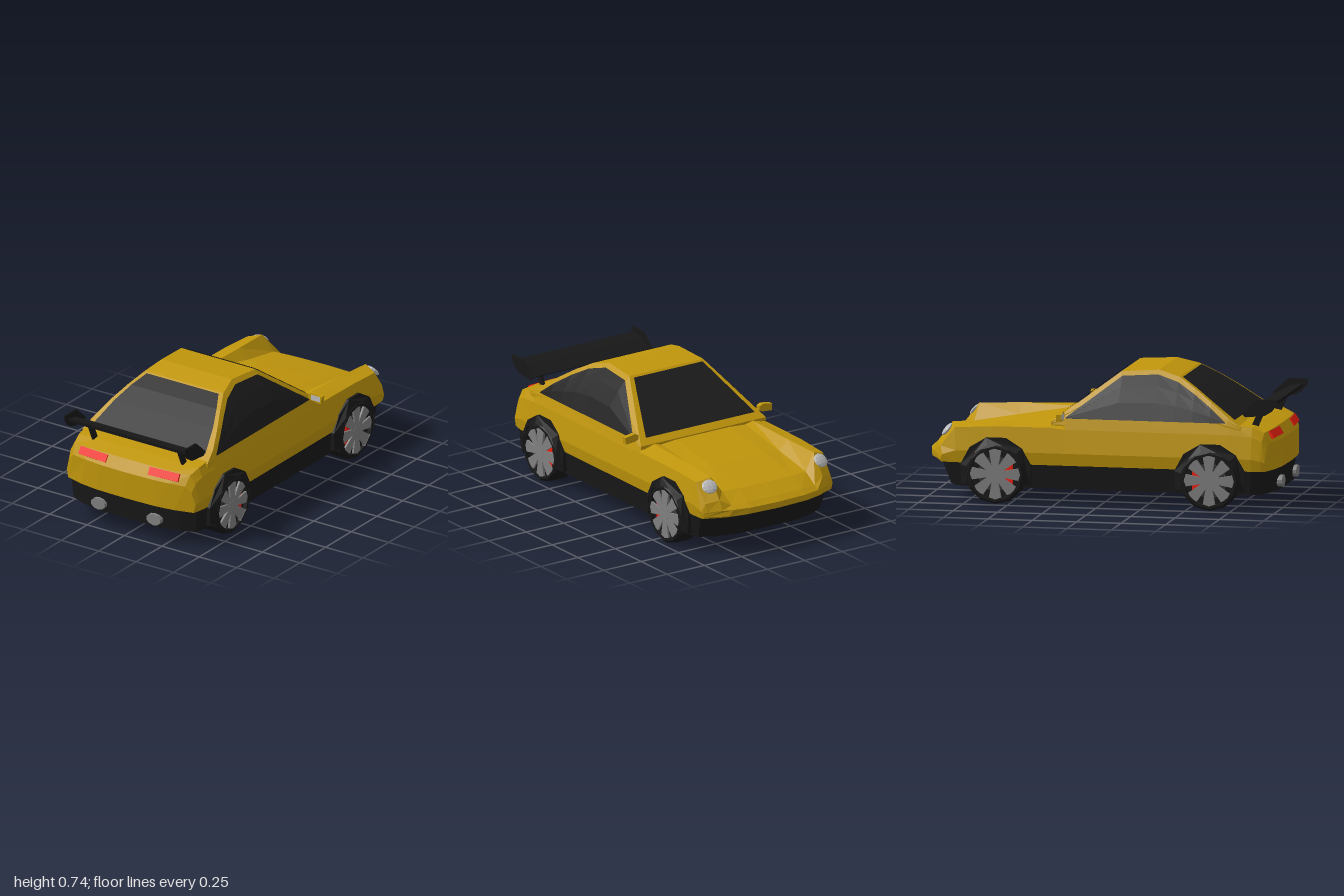
import * as THREE from 'three';

const mat = (color, side = THREE.FrontSide) => new THREE.MeshStandardMaterial({ color, flatShading: true, side });
const paint = mat(0xc0960c), black = mat(0x181818), glass = mat(0x1c1c1c, THREE.DoubleSide);
const grey = mat(0x808080), darkGrey = mat(0x383838), lens = mat(0xbbbbbb), red = mat(0xf02010);

function add(parent, name, geometry, material, x = 0, y = 0, z = 0) {
  const mesh = new THREE.Mesh(geometry, material);
  mesh.name = name;
  mesh.position.set(x, y, z);
  parent.add(mesh);
  return mesh;
}

function meshFrom(points, index) {
  const g = new THREE.BufferGeometry();
  g.setAttribute('position', new THREE.Float32BufferAttribute(points.flat(), 3));
  g.setIndex(index);
  g.computeVertexNormals();
  return g;
}

// Surface through mirrored half sections [x, y, z], ordered bottom centre to top centre
function loft(sections) {
  const H = sections[0].length, n = 2 * (H - 1), points = [], index = [];
  for (const half of sections)
    points.push(...half, ...half.slice(1, -1).reverse().map(([x, y, z]) => [-x, y, z]));
  const quad = (a, b, c, d) => index.push(a, b, c, a, c, d);
  for (let i = 0; i < sections.length - 1; i++)
    for (let j = 0; j < n; j++) {
      const k = (j + 1) % n;
      quad(i * n + j, i * n + k, (i + 1) * n + k, (i + 1) * n + j);
    }
  const last = (sections.length - 1) * n;
  for (const s of [0, H - 1])
    for (let k = 0; k < H / 2 - 1; k++) {
      const q = [s + k, s + k + 1, s + H - 2 - k, (s + H - 1 - k) % n];
      quad(...q.map(v => v + last));
      quad(...q.reverse());
    }
  return meshFrom(points, index);
}

// Sheet through rows of points
function sheet(rows) {
  const n = rows[0].length, index = [];
  for (let i = 0; i < rows.length - 1; i++)
    for (let j = 0; j < n - 1; j++) {
      const a = i * n + j, b = a + n;
      index.push(a, b, a + 1, a + 1, b, b + 1);
    }
  return meshFrom(rows.flat(), index);
}

// Pane mirrored about the centre, rows of [half width, y, z]
const pane = rows => sheet(rows.map(([w, y, z]) => [[w, y, z], [-w, y, z]]));

const polygon = pts => new THREE.Shape(pts.map(p => new THREE.Vector2(...p)));

// Side outline of [z, y] points, extruded along x and centred on x = 0
function sidePlate(pts, width) {
  const g = new THREE.ExtrudeGeometry(polygon(pts.map(([z, y]) => [-z, y])), { depth: width, bevelEnabled: false });
  return g.rotateY(Math.PI / 2).translate(-width / 2, 0, 0);
}

// Painted shell: z, bow of the end, side width, crest x, then heights of foot, belt, shoulder, crest, hood edge, hood centre
function bodyGeometry() {
  const stations = [
    [-1.00, 0.115, 0.435, 0.34, 0.235, 0.25, 0.26, 0.27, 0.27, 0.27],
    [-0.965, 0.085, 0.44, 0.345, 0.222, 0.265, 0.31, 0.325, 0.29, 0.295],
    [-0.87, 0.065, 0.447, 0.345, 0.222, 0.29, 0.415, 0.437, 0.345, 0.345],
    [-0.60, 0, 0.45, 0.335, 0.222, 0.29, 0.427, 0.447, 0.39, 0.4],
    [-0.27, 0, 0.45, 0.33, 0.222, 0.29, 0.43, 0.457, 0.445, 0.453],
    [-0.19, 0, 0.45, 0.41, 0.222, 0.29, 0.42, 0.485, 0.485, 0.485],
    [0.73, 0, 0.45, 0.41, 0.222, 0.29, 0.42, 0.482, 0.482, 0.482],
    [0.86, 0, 0.447, 0.40, 0.222, 0.29, 0.41, 0.46, 0.462, 0.465],
    [0.95, -0.04, 0.438, 0.385, 0.222, 0.28, 0.385, 0.432, 0.438, 0.44],
    [0.99, -0.06, 0.43, 0.375, 0.222, 0.27, 0.34, 0.375, 0.378, 0.378],
  ];
  return loft(stations.map(([z, bow, w, cx, foot, belt, shoulder, crest, edge, mid]) => [
    [0, foot], [0.2, foot], [0.31, foot], [w - 0.01, foot], [w, belt], [w - 0.022, shoulder],
    [cx, crest], [0.28, edge], [0.18, mid], [0, mid],
  ].map(([x, y]) => [x, y, z + bow * (x / 0.44) ** 3])));
}

// Black lower body: plan outline pulled in at its foot, with a sloping ledge at the front
function skirtGeometry() {
  const half = [[0.2, -0.935], [0.33, -0.90], [0.42, -0.85], [0.435, -0.8], [0.437, 0.86], [0.42, 0.91], [0.34, 0.945], [0.2, 0.975]];
  const plan = [...half, ...half.map(([x, z]) => [-x, z]).reverse()];
  const g = new THREE.ExtrudeGeometry(polygon(plan), { depth: 0.138, bevelEnabled: false });
  g.rotateX(Math.PI / 2).translate(0, 0.228, 0);
  const p = g.attributes.position;
  for (let i = 0; i < p.count; i++) {
    const x = p.getX(i), y = p.getY(i), z = p.getZ(i);
    if (y < 0.15) p.setXYZ(i, x * 0.97, y, z * (z < 0 ? 0.95 : 0.99));
    else if (z < -0.88) p.setY(i, 0.21);
  }
  g.computeVertexNormals();
  return g;
}

// Wheel with its outer face towards +x, origin on the inner face
function wheel(caliperSide) {
  const group = new THREE.Group();
  group.name = 'wheel';
  const tyre = [[0, 0.03], [0.125, 0.03], [0.13, 0], [0.155, 0], [0.168, 0.015], [0.168, 0.12], [0.155, 0.135], [0.142, 0.135], [0.14, 0.113], [0, 0.113]];
  add(group, 'tyre', new THREE.LatheGeometry(tyre.map(p => new THREE.Vector2(...p)), 12).rotateZ(-Math.PI / 2), black);
  add(group, 'innerRim', new THREE.TorusGeometry(0.12, 0.012, 4, 12).rotateY(Math.PI / 2), darkGrey, 0.025);
  add(group, 'brakeDisc', new THREE.CylinderGeometry(0.1, 0.1, 0.004, 12).rotateZ(Math.PI / 2), darkGrey, 0.114);
  add(group, 'caliper', new THREE.BoxGeometry(0.006, 0.11, 0.045), red, 0.117, 0, 0.075 * caliperSide);
  for (let i = 0; i < 8; i++) {
    const spoke = sidePlate([[-0.014, 0.02], [-0.034, 0.13], [0, 0.142], [0.034, 0.13], [0.014, 0.02]], 0.012);
    add(group, 'spoke', spoke, grey, 0.125).rotation.x = i * Math.PI / 4;
  }
  add(group, 'hub', new THREE.CylinderGeometry(0.035, 0.035, 0.014, 8).rotateZ(Math.PI / 2), grey, 0.125);
  add(group, 'brakeDrum', new THREE.CylinderGeometry(0.142, 0.142, 0.05, 12).rotateZ(Math.PI / 2), black, -0.04);
  return group;
}

function archGeometry() {
  const pts = [], N = 7;
  for (const [r, up] of [[0.204, true], [0.163, false]])
    for (let i = 0; i <= N; i++) {
      const a = Math.PI * (-0.1 + 1.2 * (up ? i : N - i) / N);
      pts.push([r * Math.cos(a), r * Math.sin(a)]);
    }
  const g = sidePlate(pts.reverse(), 0.11);
  const p = g.attributes.position;
  // Flare: the inner lip stands further out than the outer rim
  for (let i = 0; i < p.count; i++)
    if (p.getX(i) > 0 && Math.hypot(p.getY(i), p.getZ(i)) > 0.18) p.setX(i, p.getX(i) - 0.022);
  g.computeVertexNormals();
  return g;
}

export function createModel() {
  const car = new THREE.Group();
  car.name = 'sportsCar';
  add(car, 'body', bodyGeometry(), paint);
  add(car, 'skirt', skirtGeometry(), black);

  // Cabin with sides curving in towards the roof
  const sideX = y => 0.418 - 0.185 * Math.max(0, (y - 0.46) / 0.285) ** 1.4;
  const rise = (y0, y1) => [0, 0.4, 0.75, 1].map(f => y0 + (y1 - y0) * f);
  const roofLine = [[-0.27, 0.46], [0.09, 0.73], [0.3, 0.743], [0.42, 0.712], [0.52, 0.655], [0.62, 0.588], [0.72, 0.515], [0.8, 0.465]];
  add(car, 'cabin', loft(roofLine.map(([z, top]) =>
    [[0, 0.44, z], ...rise(0.44, top).map(y => [sideX(y), y, z]), [0, top, z]])), paint);
  add(car, 'windscreen', pane([[0.365, 0.492, -0.24], [0.23, 0.724, 0.07]]), glass);
  add(car, 'rearWindow', pane([[0.24, 0.708, 0.435], [0.285, 0.659, 0.52], [0.33, 0.592, 0.62], [0.372, 0.498, 0.755]]), glass);

  // Rear wing
  add(car, 'wingBlade', sidePlate([[0.9, 0.58], [0.975, 0.595], [0.97, 0.575], [0.83, 0.525], [0.815, 0.535]], 0.8), black);

  const windowLine = [[-0.19, 0.487], [0.1, 0.708], [0.3, 0.72], [0.42, 0.685], [0.52, 0.628], [0.62, 0.56], [0.71, 0.487]];
  for (const s of [1, -1]) {
    add(car, 'sideWindow', sheet(windowLine.map(([z, top]) =>
      rise(0.482, top).map(y => [s * (sideX(y) + 0.004), y, z]))), glass);

    add(car, 'wingEndPlate', sidePlate([[1, 0.62], [0.89, 0.62], [0.8, 0.54], [0.82, 0.52], [0.93, 0.53], [0.97, 0.555], [1, 0.595]], 0.01), black, s * 0.4);
    add(car, 'wingPost', sidePlate([[0.83, 0.45], [0.87, 0.45], [0.92, 0.565], [0.88, 0.555]].reverse(), 0.014), black, s * 0.298);

    const tailLight = add(car, 'tailLight', new THREE.BoxGeometry(0.19, 0.046, 0.03), red, s * 0.235, 0.41, 0.95);
    tailLight.rotation.set(-0.55, s * 0.07, 0, 'YXZ');

    const pipe = add(car, 'exhaust', new THREE.CylinderGeometry(0.048, 0.05, 0.06, 10).rotateX(Math.PI / 2), grey, s * 0.185, 0.14, 0.96);
    pipe.scale.y = 0.7;

    const lamp = add(car, 'headlight', new THREE.SphereGeometry(1, 10, 6), lens, s * 0.372, 0.395, -0.866);
    lamp.scale.set(0.046, 0.042, 0.014);
    lamp.rotation.set(0.7, s * -0.2, 0, 'YXZ');

    // Mirror housing narrows towards the door
    const housing = new THREE.ExtrudeGeometry(polygon([[0.405, 0.487], [0.425, 0.478], [0.488, 0.473], [0.492, 0.512], [0.43, 0.522], [0.405, 0.512]]
      .map(([x, y]) => [s * x, y])), { depth: 0.028, bevelEnabled: false });
    add(car, 'mirror', housing, paint, 0, 0, -0.226);
    add(car, 'mirrorGlass', new THREE.BoxGeometry(0.06, 0.03, 0.004), lens, s * 0.453, 0.497, -0.197);

    for (const [z, caliper] of [[0.63, -1], [-0.575, 1]]) {
      const w = wheel(caliper * s);
      w.position.set(s * 0.34, 0.168, z);
      const arch = add(car, 'wheelArch', archGeometry(), black, s * 0.42, 0.17, z);
      if (s < 0) w.rotation.y = arch.rotation.y = Math.PI;
      car.add(w);
    }
  }
  return car;
}
